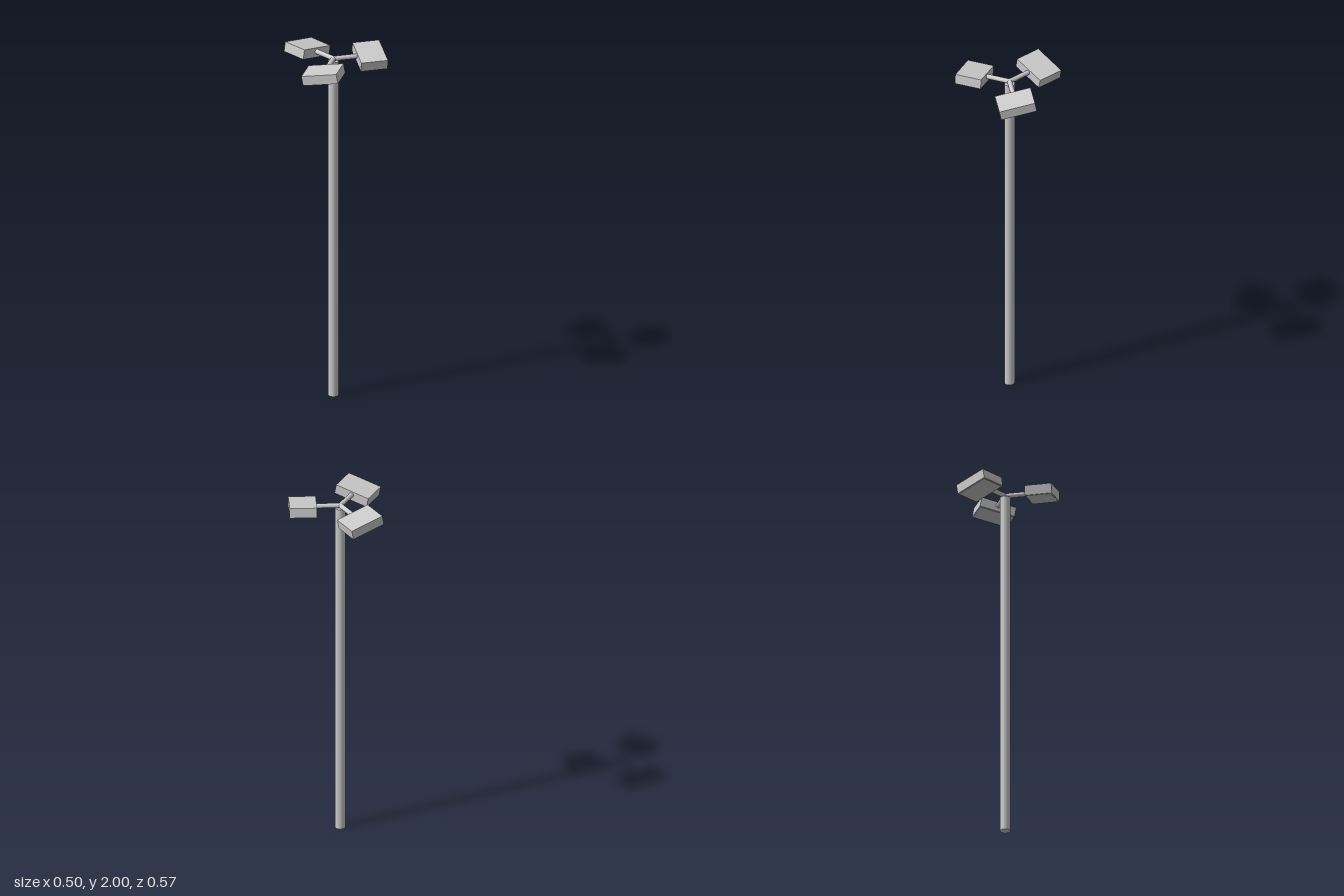
import * as THREE from 'three';

const POLE_X = -0.027, POLE_TOP = 1.95, ARM_Y = 1.962;
const HEAD = { width: 0.146, thick: 0.054, length: 0.195, reach: 0.2, y: 1.956, tilt: 0.18 };

export function createModel() {
  const model = new THREE.Group();
  model.name = 'streetLight';
  const material = new THREE.MeshStandardMaterial({ color: 0xcccccc });

  const add = (parent, name, geometry, x, y, z) => {
    const mesh = new THREE.Mesh(geometry, material);
    mesh.name = name;
    mesh.position.set(x, y, z);
    parent.add(mesh);
    return mesh;
  };

  // Tall round pole
  add(model, 'pole', new THREE.CylinderGeometry(0.028, 0.028, POLE_TOP, 32), POLE_X, POLE_TOP / 2, 0);

  // Three arms spread evenly round the pole, each carrying a tilted lamp head
  const armLength = HEAD.reach - HEAD.width / 2 + 0.005;
  for (let i = 0; i < 3; i++) {
    const branch = new THREE.Group();
    branch.name = 'lampBranch' + (i + 1);
    branch.position.x = POLE_X;
    branch.rotation.y = (i * Math.PI * 2) / 3;
    model.add(branch);

    const arm = add(branch, 'arm', new THREE.CylinderGeometry(0.013, 0.013, armLength, 24), armLength / 2, ARM_Y, 0);
    arm.rotation.z = -Math.PI / 2;

    const head = new THREE.Group();
    head.name = 'lampHead';
    head.position.set(HEAD.reach, HEAD.y, 0);
    head.rotation.x = HEAD.tilt;
    branch.add(head);
    add(head, 'housing', new THREE.BoxGeometry(HEAD.width, HEAD.thick, HEAD.length), 0, 0, 0);

    // Thin lens plate under the housing
    add(head, 'lens', new THREE.BoxGeometry(HEAD.width - 0.014, 0.004, HEAD.length - 0.014), 0, -HEAD.thick / 2, 0);
  }
  return model;
}
